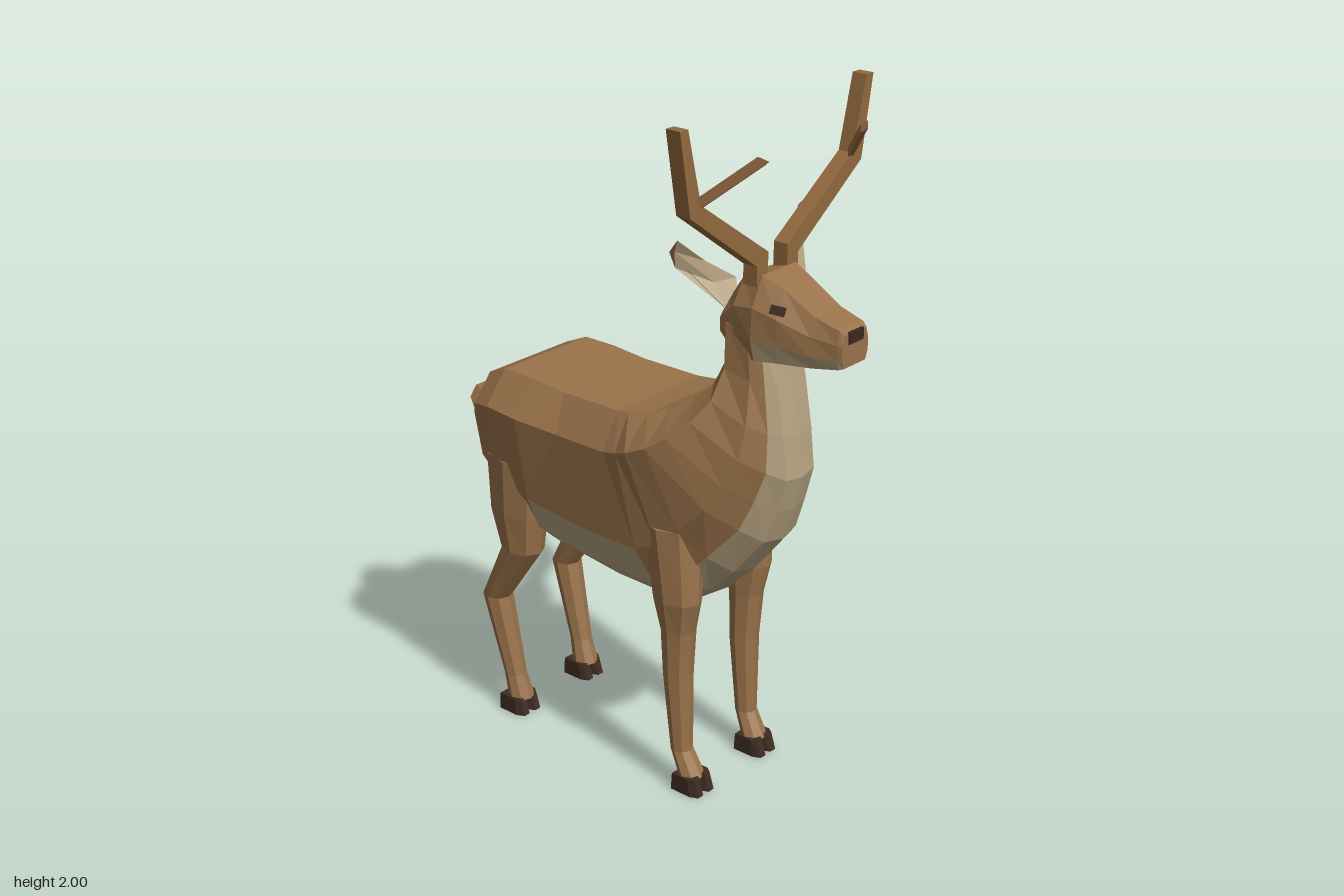
import * as THREE from 'three';

const mat = (name, color) => {
  const m = new THREE.MeshStandardMaterial({ color });
  m.name = name;
  return m;
};

// Skins a list of closed rings with flat facets and closes both ends.
// pick(i, j) gives the material index of a facet; i is -1 and 'end' at the caps.
function loft(name, rings, materials, pick = () => 0) {
  const mats = [].concat(materials);
  const buckets = mats.map(() => []);
  const n = rings[0].length;
  const V = rings.map(r => r.map(p => new THREE.Vector3(...p)));
  V.forEach((ring, i) => {
    if (i === V.length - 1) return;
    for (let j = 0; j < n; j++) {
      const k = (j + 1) % n, next = V[i + 1];
      buckets[pick(i, j)].push([ring[j], ring[k], next[k]], [ring[j], next[k], next[j]]);
    }
  });
  [[V[0], -1], [V[V.length - 1], 'end']].forEach(([ring, id]) => {
    const c = new THREE.Vector3();
    ring.forEach(p => c.addScaledVector(p, 1 / n));
    for (let j = 0; j < n; j++) {
      const a = ring[j], b = ring[(j + 1) % n];
      buckets[pick(id, j)].push(id === -1 ? [c, b, a] : [c, a, b]);
    }
  });
  // Turn the facets outward if the enclosed volume comes out negative
  let volume = 0;
  const cross = new THREE.Vector3();
  buckets.flat().forEach(([a, b, c]) => { volume += a.dot(cross.crossVectors(b, c)); });
  const pos = [], geo = new THREE.BufferGeometry();
  buckets.forEach((tris, m) => {
    geo.addGroup(pos.length / 3, tris.length * 3, m);
    tris.forEach(([a, b, c]) =>
      (volume < 0 ? [a, c, b] : [a, b, c]).forEach(p => pos.push(p.x, p.y, p.z)));
  });
  geo.setAttribute('position', new THREE.Float32BufferAttribute(pos, 3));
  geo.computeVertexNormals();
  const mesh = new THREE.Mesh(geo, mats.length > 1 ? mats : mats[0]);
  mesh.name = name;
  return mesh;
}

// Mirrors a half outline that starts and ends on the centre plane
const mirrored = half => [...half, ...half.slice(1, -1).reverse().map(([x, y, z]) => [-x, y, z])];

// Folds a ring facet index so both sides share one count from the bottom up
const fold = (j, n) => Math.min(j, n - 1 - j);

const oval = (sides, at) => Array.from({ length: sides }, (_, i) => {
  const a = (i / sides) * Math.PI * 2;
  return at(Math.cos(a), Math.sin(a));
});

export function createModel() {
  const model = new THREE.Group();
  model.name = 'stag';
  const coat = mat('brown coat', 0x99724a);
  const pale = mat('pale fur', 0xb3a07e);
  const horn = mat('antler', 0x92693e);
  const hoofDark = mat('dark hoof', 0x3d2b22);
  const dark = mat('nose and eyes', 0x3a281c);

  // Body and neck: top z,y; bottom z,y; half widths from belly to back
  const levels = [0.03, 0.16, 0.35, 0.82, 1];
  const stations = [
    [0.31, 1.42, 0.46, 1.40, 0.05, 0.08, 0.10, 0.10, 0.06],
    [0.31, 1.30, 0.485, 1.26, 0.06, 0.085, 0.105, 0.11, 0.06],
    [0.29, 1.23, 0.51, 1.12, 0.06, 0.09, 0.13, 0.15, 0.09],
    [0.24, 1.185, 0.525, 1.00, 0.06, 0.10, 0.15, 0.19, 0.11],
    [0.18, 1.145, 0.50, 0.90, 0.06, 0.11, 0.17, 0.225, 0.14],
    [0.12, 1.12, 0.465, 0.80, 0.07, 0.125, 0.19, 0.245, 0.16],
    [0.06, 1.11, 0.37, 0.68, 0.08, 0.15, 0.20, 0.25, 0.17],
    [0.02, 1.105, 0.28, 0.59, 0.08, 0.165, 0.205, 0.235, 0.17],
    [-0.02, 1.105, 0.19, 0.53, 0.085, 0.17, 0.21, 0.23, 0.17],
    [-0.18, 1.105, -0.05, 0.535, 0.085, 0.17, 0.21, 0.23, 0.17],
    [-0.30, 1.115, -0.29, 0.565, 0.085, 0.165, 0.21, 0.25, 0.17],
    [-0.41, 1.115, -0.41, 0.60, 0.08, 0.15, 0.20, 0.245, 0.17],
    [-0.48, 1.085, -0.48, 0.66, 0.07, 0.13, 0.18, 0.225, 0.16],
    [-0.525, 1.01, -0.52, 0.71, 0.06, 0.11, 0.16, 0.185, 0.13],
    [-0.545, 0.985, -0.535, 0.72, 0.05, 0.09, 0.115, 0.12, 0.09],
  ];
  const bodyRings = stations.map(([zt, yt, zb, yb, ...w]) => mirrored([
    [0, yb, zb],
    ...levels.map((t, k) => [w[k], yb + (yt - yb) * t, zb + (zt - zb) * t]),
    [0, yt, zt],
  ]));
  // Pale throat stripe, belly panel and rump patch
  model.add(loft('body', bodyRings, [coat, pale], (i, j) => {
    if (i === 'end') return 1;
    const f = fold(j, 12);
    if (i >= 8 && i <= 9) return f <= 2 ? 1 : 0;
    return i >= 0 && i < 8 && f <= 1 ? 1 : 0;
  }));

  // Head: z, bottom y, top y, half widths from jaw to brow
  const headRings = [
    [0.31, 1.36, 1.46, 0.07, 0.09, 0.09, 0.06],
    [0.36, 1.34, 1.54, 0.09, 0.10, 0.10, 0.055],
    [0.43, 1.335, 1.56, 0.10, 0.115, 0.11, 0.07],
    [0.50, 1.34, 1.53, 0.085, 0.10, 0.10, 0.06],
    [0.59, 1.345, 1.48, 0.065, 0.08, 0.075, 0.055],
    [0.665, 1.355, 1.46, 0.05, 0.06, 0.06, 0.05],
    [0.678, 1.36, 1.45, 0.045, 0.055, 0.055, 0.045],
  ].map(([z, yb, yt, ...w]) => mirrored([
    [0, yb, z],
    ...[0, 0.27, 0.65, 1].map((t, k) => [w[k], yb + (yt - yb) * t, z]),
    [0, yt, z],
  ]));
  model.add(loft('head', headRings, [coat, pale],
    (i, j) => (i >= 2 && fold(j, 10) <= 1 ? 1 : 0)));

  const plate = (name, material, size, at) => {
    const m = new THREE.Mesh(new THREE.BoxGeometry(...size), material);
    m.name = name;
    m.position.set(...at);
    model.add(m);
    return m;
  };
  plate('nose', dark, [0.06, 0.032, 0.008], [0, 1.438, 0.678]);

  // Tail: z, y, half width, half height
  model.add(loft('tail', [
    [-0.52, 1.0, 0.045, 0.025], [-0.565, 0.96, 0.03, 0.025], [-0.60, 0.922, 0.04, 0.042],
    [-0.63, 0.912, 0.085, 0.043], [-0.68, 0.92, 0.05, 0.035],
  ].map(([z, y, w, h]) => oval(6, (c, s) => [w * c, y + h * s, z])), coat));

  // Legs: y, z, half depth, x, half width
  const legs = {
    front: [
      [0.82, 0.20, 0.09, 0.14, 0.08], [0.6, 0.225, 0.075, 0.155, 0.06],
      [0.5, 0.225, 0.05, 0.15, 0.05], [0.36, 0.222, 0.042, 0.147, 0.045],
      [0.12, 0.235, 0.03, 0.145, 0.034], [0.045, 0.27, 0.035, 0.142, 0.04],
    ],
    hind: [
      [0.85, -0.38, 0.12, 0.14, 0.08], [0.68, -0.38, 0.10, 0.155, 0.065],
      [0.56, -0.37, 0.07, 0.155, 0.055], [0.37, -0.485, 0.045, 0.15, 0.045],
      [0.12, -0.425, 0.032, 0.145, 0.034], [0.045, -0.405, 0.038, 0.142, 0.04],
    ],
  };

  for (const s of [1, -1]) {
    const side = s > 0 ? 'left' : 'right';
    const flip = rings => rings.map(r => r.map(([x, y, z]) => [s * x, y, z]));

    for (const [kind, rows] of Object.entries(legs)) {
      model.add(loft(`${side} ${kind} leg`, flip(rows.map(([y, z, rz, x, rx]) =>
        oval(8, (c, q) => [x + rx * c, y, z + rz * q]))), coat));
      // Cloven hoof: two toes narrowing to the front
      const z = kind === 'front' ? 0.275 : -0.41;
      for (const x of [0.119, 0.165]) {
        const toe = (y, w, back, front) => [
          [x - w, y, z + back], [x + w, y, z + back], [x + w, y, z + front * 0.5],
          [x + w * 0.5, y, z + front], [x - w * 0.5, y, z + front], [x - w, y, z + front * 0.5],
        ];
        model.add(loft(`${side} ${kind} hoof`,
          flip([toe(0, 0.022, -0.045, 0.048), toe(0.052, 0.021, -0.042, 0.032)]), hoofDark));
      }
    }

    // Ear: rings run upper edge, inner hollow, lower edge, back
    model.add(loft(`${side} ear`, flip([
      [[0.10, 1.55, 0.37], [0.11, 1.53, 0.38], [0.10, 1.51, 0.36], [0.09, 1.53, 0.34]],
      [[0.19, 1.61, 0.34], [0.17, 1.55, 0.355], [0.17, 1.49, 0.39], [0.19, 1.54, 0.31]],
      [[0.275, 1.68, 0.32], [0.268, 1.645, 0.305], [0.26, 1.60, 0.30], [0.265, 1.64, 0.285]],
    ]), [coat, pale], (i, j) => (i >= 0 && j < 2 ? 1 : 0)));

    // Antler beam: inner and outer edge x,y at each bend
    model.add(loft(`${side} antler`, flip([
      [0.04, 1.53, 0.085, 1.53], [0.04, 1.615, 0.085, 1.585],
      [0.31, 1.80, 0.35, 1.775], [0.36, 2.0, 0.39, 2.0],
    ].map(([a, b, c, d]) => [[a, b, 0.38], [c, d, 0.38], [c, d, 0.425], [a, b, 0.425]])), horn));
    // Forward tine
    model.add(loft(`${side} antler tine`, flip([
      [0.325, 1.79, 0.405], [0.21, 1.91, 0.53],
    ].map(([x, y, z]) => [
      [x - 0.014, y - 0.014, z], [x + 0.008, y, z - 0.018],
      [x + 0.014, y + 0.014, z], [x - 0.008, y, z + 0.018],
    ])), horn));

    const eye = plate(`${side} eye`, dark, [0.009, 0.024, 0.04], [s * 0.089, 1.485, 0.497]);
    eye.quaternion.setFromUnitVectors(new THREE.Vector3(s, 0, 0),
      new THREE.Vector3(s * 0.84, 0.48, 0.25).normalize());
  }
  return model;
}
